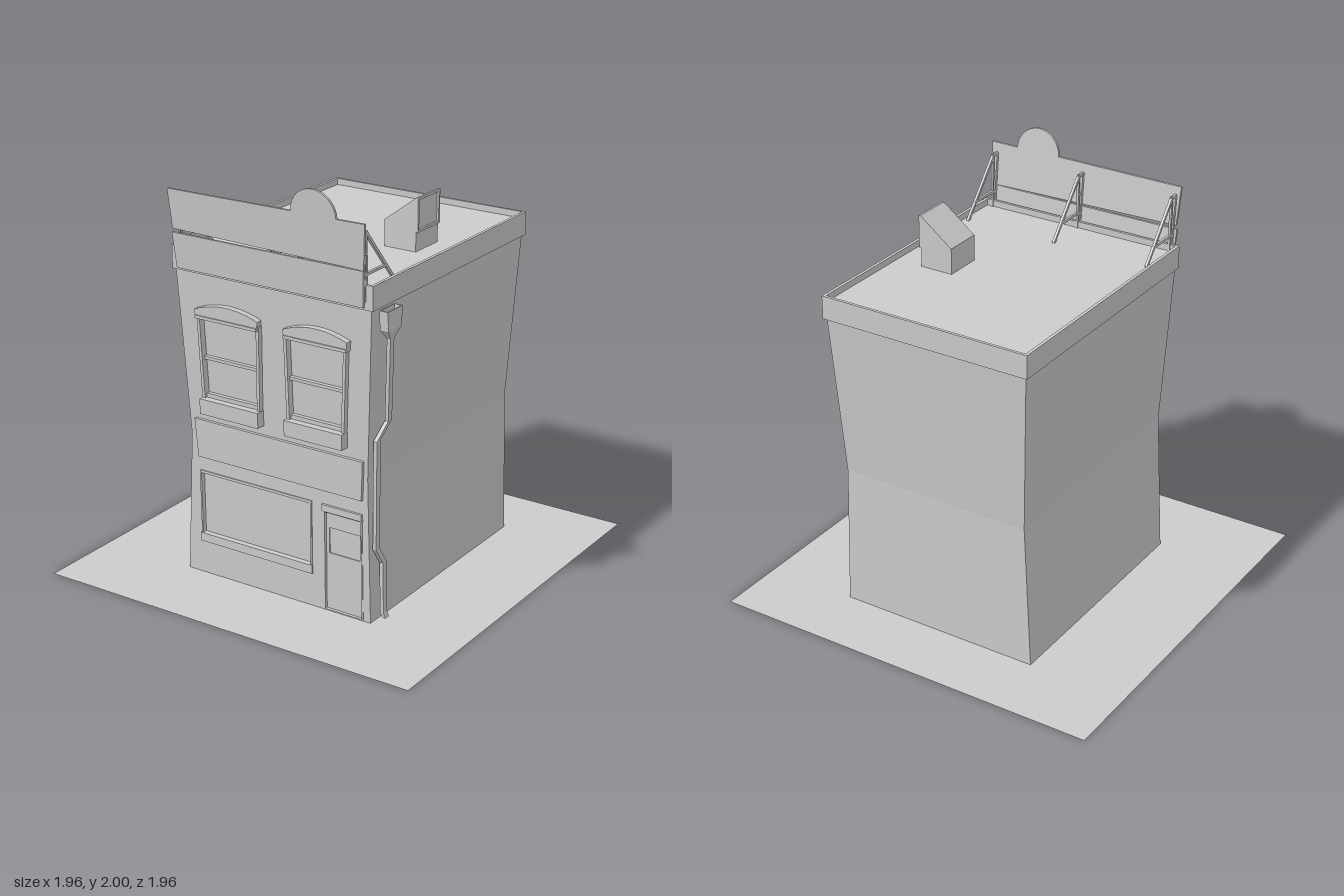
import * as THREE from 'three';

const material = new THREE.MeshStandardMaterial({ color: 0xcccccc, flatShading: true, side: THREE.DoubleSide });

// Cross-sections of the crooked walls: height, left, right, back, front
const levels = [
  { y: 0, x0: -0.492, x1: 0.525, z0: -0.64, z1: 0.568 },
  { y: 0.7, x0: -0.45, x1: 0.512, z0: -0.63, z1: 0.576 },
  { y: 1.5, x0: -0.495, x1: 0.545, z0: -0.69, z1: 0.602 },
];
const lerp = THREE.MathUtils.lerp;
function frontZ(y) {
  const [a, b] = y < 0.7 ? [levels[0], levels[1]] : [levels[1], levels[2]];
  return lerp(a.z1, b.z1, (y - a.y) / (b.y - a.y));
}
const signZ = (y) => 0.615 + (y - 1.51) * 0.095;

function add(parent, name, geometry) {
  const mesh = new THREE.Mesh(geometry, material);
  mesh.name = name;
  parent.add(mesh);
  return mesh;
}

function poly(points, ...holes) {
  const shape = new THREE.Shape(points.map((p) => new THREE.Vector2(...p)));
  for (const h of holes) shape.holes.push(new THREE.Path(h.map((p) => new THREE.Vector2(...p))));
  return shape;
}

// Four corners of a panel whose sides may lean
const quad = (y0, y1, l0, r0, l1, r1) => [[l0, y0], [r0, y0], [r1, y1], [l1, y1]];
function inset(q, d) {
  return [[q[0][0] + d, q[0][1] + d], [q[1][0] - d, q[1][1] + d], [q[2][0] - d, q[2][1] - d], [q[3][0] + d, q[3][1] - d]];
}

// Slab that follows a leaning surface, reaching from back to front of it
function slab(parent, name, shape, back, front, rule = frontZ) {
  const g = new THREE.ExtrudeGeometry(shape, { depth: front - back, bevelEnabled: false, curveSegments: 16 });
  const p = g.attributes.position;
  for (let i = 0; i < p.count; i++) p.setZ(i, p.getZ(i) + back + rule(p.getY(i)));
  g.computeVertexNormals();
  return add(parent, name, g);
}

// Square bar between two points
function bar(parent, name, a, b, w, d = w) {
  const from = new THREE.Vector3(...a), to = new THREE.Vector3(...b);
  const mesh = add(parent, name, new THREE.BoxGeometry(w, d, from.distanceTo(to)));
  mesh.position.copy(from).lerp(to, 0.5);
  mesh.lookAt(to);
  return mesh;
}

// Surface made of strips between successive rings of points
function loft(rings, closed) {
  const pos = [];
  for (let i = 0; i < rings.length - 1; i++) {
    const a = rings[i], b = rings[i + 1], n = a.length;
    for (let j = 0; j < (closed ? n : n - 1); j++) {
      const k = (j + 1) % n;
      pos.push(...a[j], ...a[k], ...b[k], ...a[j], ...b[k], ...b[j]);
    }
  }
  const g = new THREE.BufferGeometry();
  g.setAttribute('position', new THREE.Float32BufferAttribute(pos, 3));
  g.computeVertexNormals();
  return g;
}

function buildWindow(parent, name, outer, hood) {
  const group = new THREE.Group();
  group.name = name;
  parent.add(group);
  const inner = inset(outer, 0.015);
  slab(group, 'windowFrame', poly(outer, inner), -0.02, 0.025);
  slab(group, 'glass', poly(outer), -0.02, -0.008);
  const [l, r] = [inner[0][0], inner[1][0]];
  slab(group, 'sashBar', poly(quad(1.09, 1.105, l - 0.005, r + 0.005, l - 0.005, r + 0.005)), -0.01, 0.012);
  slab(group, 'lowerRail', poly(quad(0.9, 0.925, l, r, l, r)), -0.01, 0.012);
  slab(group, 'sill', poly(quad(0.83, 0.905, outer[0][0] - 0.003, outer[1][0] + 0.003, outer[0][0] - 0.004, outer[1][0] + 0.004)), -0.01, 0.046);
  // Arched hood
  const arch = new THREE.Shape();
  const [h0, h1] = hood, mid = (h0 + h1) / 2;
  arch.moveTo(h0 + 0.008, 1.29);
  arch.lineTo(h1 - 0.004, 1.295);
  arch.lineTo(h1, 1.335);
  arch.quadraticCurveTo(mid, 1.402, h0, 1.33);
  slab(group, 'hood', arch, -0.01, 0.032);
  slab(group, 'hoodLip', poly(quad(1.29, 1.305, h0 + 0.006, h1 - 0.004, h0 + 0.006, h1 - 0.004)), 0, 0.038);
}

export function createModel() {
  const model = new THREE.Group();
  model.name = 'shopBuilding';

  // Ground
  const ground = add(model, 'groundPlate', new THREE.PlaneGeometry(1.96, 1.96));
  ground.rotation.x = -Math.PI / 2;

  // Side and back walls
  add(model, 'sideAndBackWalls', loft(levels.map((s) => [
    [s.x1, s.y, s.z1], [s.x1, s.y, s.z0], [s.x0, s.y, s.z0], [s.x0, s.y, s.z1]]), false));

  // Front wall in two leaning pieces with openings
  const shopHole = quad(0.165, 0.525, -0.408, 0.215, -0.408, 0.215);
  const doorHole = quad(0.004, 0.5, 0.277, 0.487, 0.277, 0.483);
  const leftWin = quad(0.84, 1.31, -0.358, -0.042, -0.372, -0.032);
  const rightWin = quad(0.84, 1.31, 0.106, 0.406, 0.1, 0.428);
  const wall = (a, b) => quad(a.y, b.y, a.x0, a.x1, b.x0, b.x1);
  slab(model, 'lowerFrontWall', poly(wall(levels[0], levels[1]), shopHole, doorHole), -0.015, 0);
  slab(model, 'upperFrontWall', poly(wall(levels[1], levels[2]), leftWin, rightWin), -0.015, 0);

  buildWindow(model, 'rightUpperWindow', leftWin, [-0.38, -0.033]);
  buildWindow(model, 'leftUpperWindow', rightWin, [0.1, 0.437]);

  // Shop window
  slab(model, 'shopWindowFrame', poly(shopHole, quad(0.205, 0.512, -0.4, 0.207, -0.4, 0.207)), -0.025, 0.005);
  slab(model, 'shopGlass', poly(shopHole), -0.03, -0.018);
  slab(model, 'shopSill', poly(quad(0.165, 0.207, -0.41, 0.217, -0.41, 0.217)), -0.02, 0.01);

  // Door
  slab(model, 'doorFrame', poly(doorHole, quad(0.006, 0.488, 0.284, 0.48, 0.284, 0.476)), -0.025, 0.003);
  slab(model, 'door', poly(quad(0.003, 0.495, 0.28, 0.485, 0.28, 0.48), quad(0.285, 0.41, 0.3, 0.462, 0.3, 0.462)), -0.022, -0.012);
  slab(model, 'doorGlass', poly(quad(0.28, 0.415, 0.295, 0.467, 0.295, 0.467)), -0.025, -0.017);
  slab(model, 'doorLintel', poly(quad(0.495, 0.527, 0.276, 0.486, 0.274, 0.484)), -0.01, 0.012);

  // Blank board above the shop front
  slab(model, 'shopBoard', poly(quad(0.597, 0.785, -0.405, 0.487, -0.42, 0.495)), 0, 0.015);

  // Cornice, parapet and roof
  const corniceGeo = new THREE.ExtrudeGeometry(
    poly(quad(-0.612, 0.702, -0.507, 0.558, -0.507, 0.558), quad(-0.598, 0.688, -0.492, 0.543, -0.492, 0.543)),
    { depth: 0.112, bevelEnabled: false });
  corniceGeo.rotateX(-Math.PI / 2).translate(0, 1.494, 0);
  add(model, 'corniceParapet', corniceGeo);
  const roof = add(model, 'roof', new THREE.BoxGeometry(1.04, 0.02, 1.29));
  roof.position.set(0.0255, 1.565, -0.045);

  // Tilted false front with a round crest
  slab(model, 'lowerFalseFront', poly(quad(1.507, 1.675, -0.47, 0.518, -0.48, 0.527)), 0, 0.012, signZ);
  const crest = new THREE.Shape();
  crest.moveTo(-0.474, 1.693);
  crest.lineTo(0.53, 1.677);
  crest.lineTo(0.547, 1.887);
  crest.lineTo(0.405, 1.885);
  crest.absarc(0.29, 1.885, 0.115, 0, Math.PI, false);
  crest.lineTo(-0.485, 1.879);
  slab(model, 'upperFalseFront', crest, 0, 0.012, signZ);

  // Braces behind the false front
  for (const x of [-0.46, 0.035, 0.515]) {
    const brace = new THREE.Group();
    brace.name = 'falseFrontBrace';
    model.add(brace);
    bar(brace, 'post', [x, 1.53, signZ(1.53) - 0.01], [x, 1.84, signZ(1.84) - 0.008], 0.014);
    bar(brace, 'diagonal', [x, 1.84, 0.61], [x, 1.575, 0.385], 0.013);
    bar(brace, 'topTie', [x, 1.835, 0.598], [x, 1.835, 0.645], 0.012);
    bar(brace, 'middleTie', [x, 1.74, 0.6], [x, 1.74, 0.637], 0.012);
    bar(brace, 'lowerTie', [x, 1.65, 0.445], [x, 1.65, 0.628], 0.012);
    bar(brace, 'innerPost', [x, 1.575, 0.598], [x, 1.84, 0.605], 0.011);
  }

  // Roof skylight with sloping top and framed side
  const sky = new THREE.ExtrudeGeometry(
    poly([[0.24, 1.57], [0.405, 1.57], [0.405, 1.825], [0.24, 1.7]]), { depth: 0.187, bevelEnabled: false });
  add(model, 'skylight', sky.translate(0, 0, -0.158));
  const rim = new THREE.ExtrudeGeometry(
    poly(quad(1.665, 1.825, -0.029, 0.158, -0.029, 0.158), quad(1.676, 1.813, -0.018, 0.147, -0.018, 0.147)),
    { depth: 0.01, bevelEnabled: false });
  add(model, 'skylightFrame', rim.rotateY(Math.PI / 2).translate(0.405, 0, 0));

  // Drainpipe: bent flat pipe with a hopper on top
  const pipe = [[0.576, 1.37, 0.5], [0.543, 0.95, 0.461], [0.538, 0.88, 0.543], [0.536, 0.36, 0.541], [0.541, 0.28, 0.492], [0.552, 0.04, 0.503], [0.563, 0.015, 0.503]];
  const ring = (x, y, z, hx, hz) => [[x - hx, y, z + hz], [x + hx, y, z + hz], [x + hx, y, z - hz], [x - hx, y, z - hz]];
  add(model, 'drainpipe', loft(pipe.map(([x, y, z]) => ring(x, y, z, 0.009, 0.015)).reverse(), true));
  add(model, 'drainHopper', loft([
    ring(0.576, 1.35, 0.5, 0.01, 0.018), ring(0.578, 1.395, 0.503, 0.021, 0.052), ring(0.579, 1.485, 0.503, 0.022, 0.059),
    ring(0.579, 1.485, 0.503, 0.016, 0.053), ring(0.578, 1.4, 0.503, 0.016, 0.046), ring(0.578, 1.4, 0.503, 0, 0)], true));

  return model;
}
